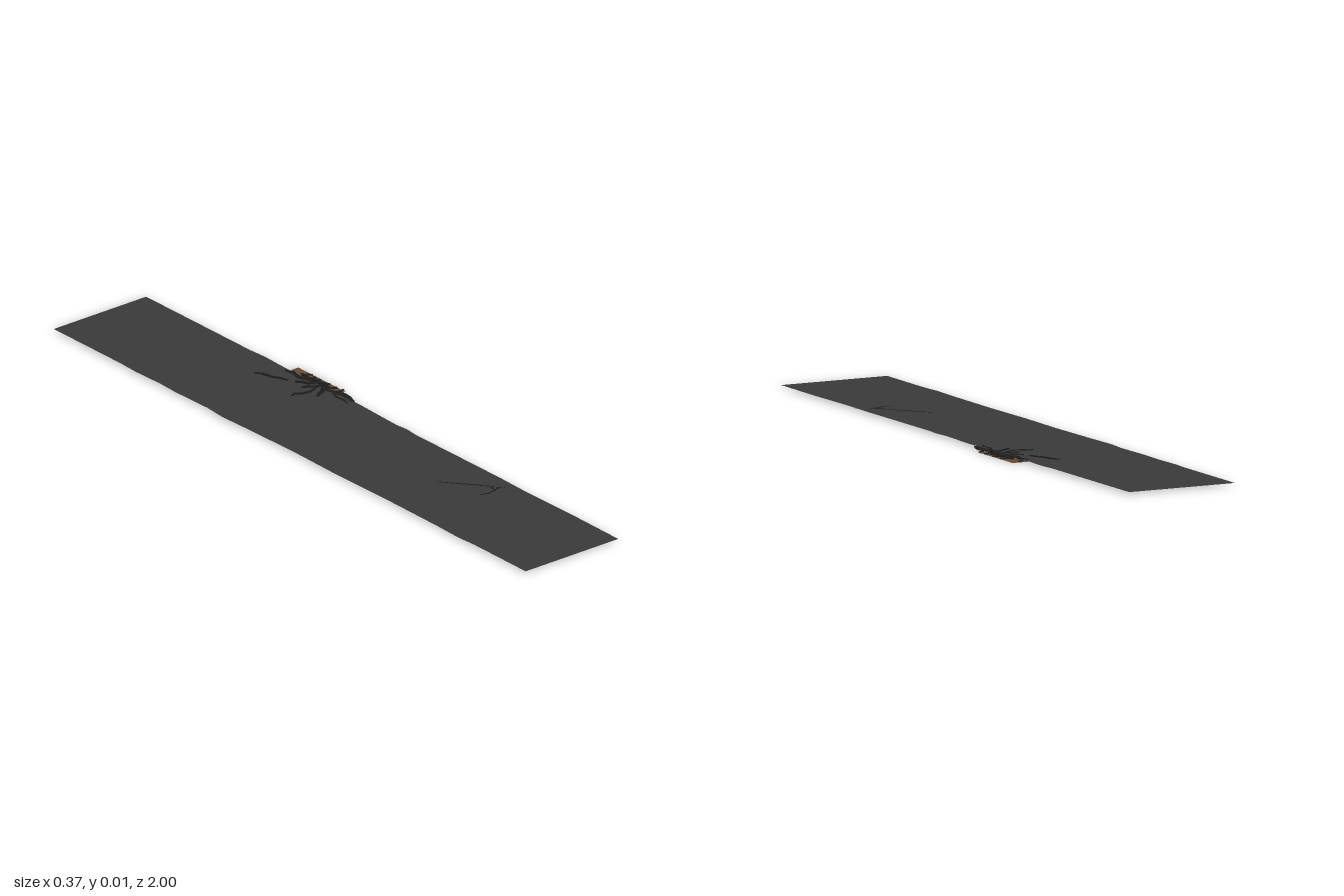
import * as THREE from 'three';

const asphalt = new THREE.MeshStandardMaterial({ name: 'asphalt', color: 0x3a3a3a, side: THREE.DoubleSide });
const soil = new THREE.MeshStandardMaterial({ name: 'soil', color: 0x644a35, side: THREE.DoubleSide });
const crackDark = new THREE.MeshStandardMaterial({ name: 'crackDark', color: 0x1d1d1d, side: THREE.DoubleSide });

const ROAD_Y = 0.006;

// Flat outline of [x, z] points laid on the ground plane
function flatPlate(name, pts, y, material) {
  const geo = new THREE.ShapeGeometry(new THREE.Shape(pts.map(([x, z]) => new THREE.Vector2(x, -z))));
  geo.rotateX(-Math.PI / 2).translate(0, y, 0);
  const mesh = new THREE.Mesh(geo, material);
  mesh.name = name;
  return mesh;
}

// Tapered sliver following [x, z] points, sagging towards the broken road edge
function crack(name, pts, width, depth) {
  const left = [], right = [];
  pts.forEach(([x, z], i) => {
    const a = pts[Math.max(i - 1, 0)], b = pts[Math.min(i + 1, pts.length - 1)];
    const dx = b[0] - a[0], dz = b[1] - a[1], len = Math.hypot(dx, dz);
    const t = i / (pts.length - 1);
    const w = width * 0.5 * (0.3 + 0.7 * Math.sin(Math.PI * (0.1 + 0.8 * t)));
    left.push(new THREE.Vector2(x - dz / len * w, -(z + dx / len * w)));
    right.unshift(new THREE.Vector2(x + dz / len * w, -(z - dx / len * w)));
  });
  const geo = new THREE.ExtrudeGeometry(new THREE.Shape([...left, ...right]), { depth, bevelEnabled: false });
  geo.rotateX(-Math.PI / 2);
  const p = geo.attributes.position;
  for (let i = 0; i < p.count; i++) {
    p.setY(i, p.getY(i) + ROAD_Y + 0.0004 - Math.max(0, p.getX(i) - 0.1) * 0.055);
  }
  geo.computeVertexNormals();
  const mesh = new THREE.Mesh(geo, crackDark);
  mesh.name = name;
  return mesh;
}

export function createModel() {
  const model = new THREE.Group();
  model.name = 'crackedRoad';

  // Road strip with slightly crumbled long edges
  const rightEdge = [[0.145, -1], [0.145, -0.56], [0.149, -0.5], [0.146, -0.42], [0.148, -0.2],
    [0.152, -0.1], [0.148, 0], [0.146, 0.06], [0.15, 0.1], [0.146, 0.14], [0.147, 0.5],
    [0.144, 0.62], [0.147, 0.8], [0.145, 1]];
  const leftEdge = [[-0.179, 1], [-0.178, 0.78], [-0.182, 0.72], [-0.179, 0.63], [-0.177, 0.4],
    [-0.18, 0.2], [-0.177, 0.02], [-0.18, -0.15], [-0.184, -0.28], [-0.178, -0.35],
    [-0.181, -0.48], [-0.178, -0.55], [-0.181, -0.65], [-0.178, -0.72], [-0.178, -1]];
  model.add(flatPlate('roadSurface', [...rightEdge, ...leftEdge], ROAD_Y, asphalt));

  // Bare soil below the damaged edge
  model.add(flatPlate('soilPatch',
    [[0.182, -0.4], [0.182, -0.2], [-0.003, -0.2], [-0.003, -0.37], [0.012, -0.4]], 0.0005, soil));

  // Heavy cracks around the break
  const damage = new THREE.Group();
  damage.name = 'edgeDamage';
  [
    [[[0.06, -0.44], [0.074, -0.42], [0.08, -0.39], [0.092, -0.37], [0.1, -0.345]], 0.009],
    [[[0.045, -0.262], [0.06, -0.268], [0.075, -0.255], [0.1, -0.25], [0.13, -0.262]], 0.009],
    [[[0.135, -0.4], [0.142, -0.37], [0.136, -0.34], [0.148, -0.31], [0.142, -0.28]], 0.014],
    [[[0.108, -0.325], [0.122, -0.315], [0.132, -0.295], [0.15, -0.29], [0.176, -0.3]], 0.016],
    [[[0.1, -0.285], [0.118, -0.28], [0.135, -0.265], [0.155, -0.27], [0.178, -0.26]], 0.014],
    [[[0.095, -0.215], [0.11, -0.225], [0.125, -0.23], [0.14, -0.245], [0.165, -0.24]], 0.013],
    [[[0.16, -0.36], [0.155, -0.33], [0.163, -0.3], [0.157, -0.27], [0.164, -0.23]], 0.014],
    [[[0.148, -0.26], [0.143, -0.235], [0.15, -0.21], [0.146, -0.185]], 0.016],
    [[[0.13, -0.13], [0.138, -0.155], [0.134, -0.18], [0.142, -0.205]], 0.008],
    [[[0.152, -0.215], [0.16, -0.185], [0.157, -0.16], [0.15, -0.13]], 0.022],
    [[[0.14, -0.345], [0.155, -0.34], [0.168, -0.345], [0.18, -0.335]], 0.01],
    [[[0.15, -0.215], [0.165, -0.205], [0.184, -0.21]], 0.01],
  ].forEach(([pts, w]) => damage.add(crack('edgeCrack', pts, w, 0.0022)));
  model.add(damage);

  // Fine hairline cracks further forward
  const hairlines = new THREE.Group();
  hairlines.name = 'hairlineCracks';
  [
    [[0, 0.41], [0.035, 0.453], [0.07, 0.495], [0.105, 0.54], [0.142, 0.578]],
    [[0.036, 0.548], [0.06, 0.555], [0.085, 0.55], [0.09, 0.53], [0.085, 0.512]],
    [[0.085, 0.55], [0.1, 0.545], [0.112, 0.547]],
  ].forEach((pts) => hairlines.add(crack('hairlineCrack', pts, 0.005, 0.0006)));
  model.add(hairlines);

  // Small chips resting on the lowest side of the break
  const chipSpots = [[0.15, -0.385], [0.172, -0.32], [0.17, -0.28], [0.174, -0.235], [0.153, -0.25]];
  chipSpots.forEach(([x, z], i) => {
    const chip = new THREE.Mesh(new THREE.BoxGeometry(0.013, 0.0025, 0.011), crackDark);
    chip.position.set(x, 0.00125, z);
    chip.rotation.y = i * 0.9;
    chip.name = 'roadChip';
    model.add(chip);
  });

  return model;
}
